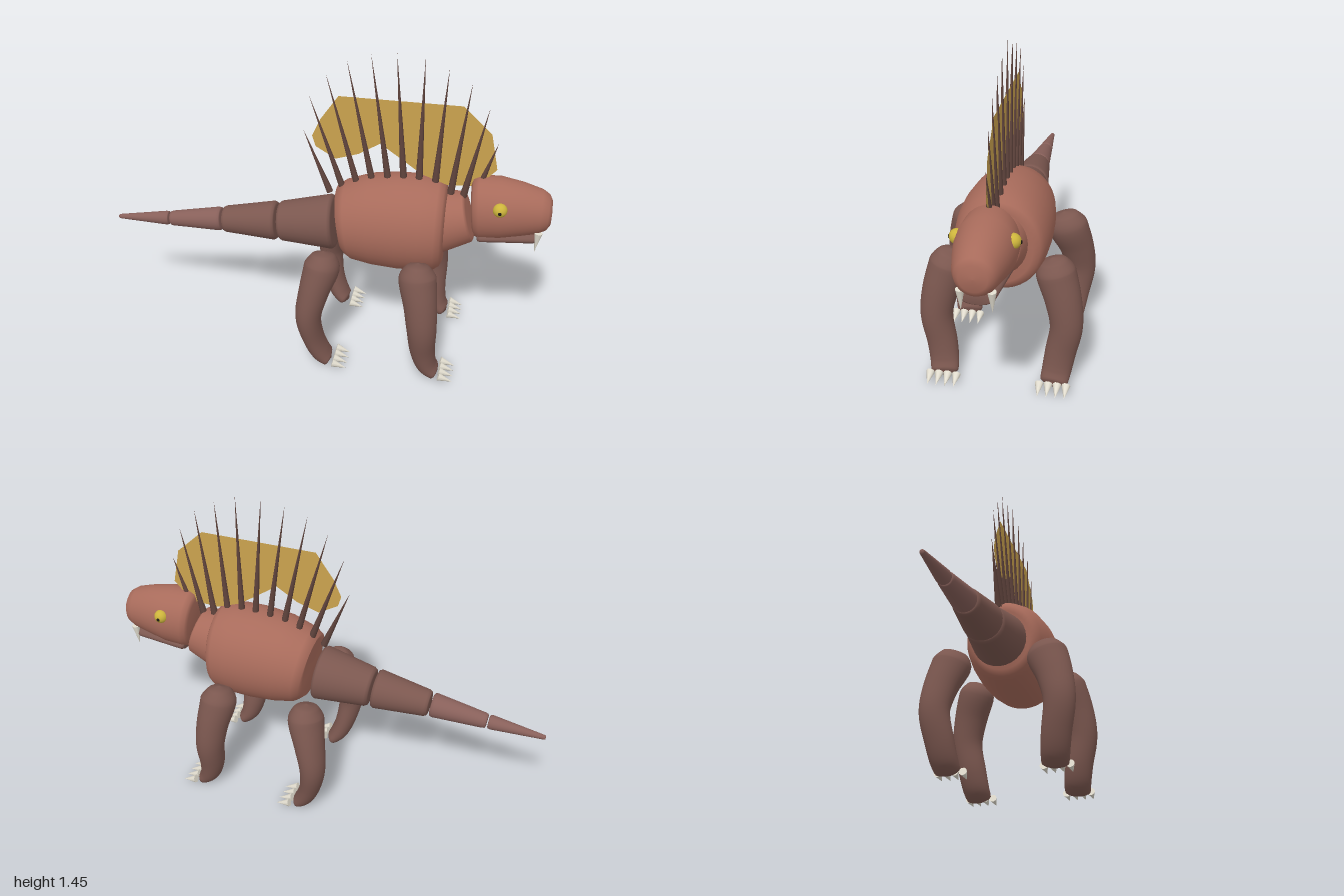
import * as THREE from 'three';

const paint = (name, color, side = THREE.FrontSide) => {
  const m = new THREE.MeshStandardMaterial({ color, side });
  m.name = name;
  return m;
};

// Closed skin through elliptical rings [x, y, z, radiusUp, radiusSide].
function loft(rings, sides = 28) {
  const centres = rings.map(r => new THREE.Vector3(r[0], r[1], r[2]));
  const pos = [], idx = [], n = rings.length;
  rings.forEach((r, i) => {
    const t = centres[Math.min(i + 1, n - 1)].clone().sub(centres[Math.max(i - 1, 0)]).normalize();
    const side = new THREE.Vector3(0, 0, 1).addScaledVector(t, -t.z).normalize();
    const up = side.clone().cross(t);
    for (let j = 0; j < sides; j++) {
      const a = j / sides * Math.PI * 2;
      const p = centres[i].clone().addScaledVector(up, Math.cos(a) * r[3]).addScaledVector(side, Math.sin(a) * r[4]);
      pos.push(p.x, p.y, p.z);
      if (i < n - 1) {
        const k = (j + 1) % sides, a0 = i * sides, b0 = a0 + sides;
        idx.push(a0 + j, a0 + k, b0 + j, a0 + k, b0 + k, b0 + j);
      }
    }
  });
  const g = new THREE.BufferGeometry();
  g.setAttribute('position', new THREE.Float32BufferAttribute(pos, 3));
  g.setIndex(idx);
  g.computeVertexNormals();
  return g;
}

// Tapered segment with softly rounded flat ends.
function segment(a, b) {
  const mix = (t, s) => a.map((v, k) => (v + (b[k] - v) * t) * (k > 2 ? s : 1));
  return loft([[0, 0], [0.002, 0.8], [0.015, 0.93], [0.06, 1], [0.5, 1], [0.94, 1], [0.985, 0.93], [0.998, 0.8], [1, 0]]
    .map(([t, s]) => mix(t, s)));
}

// Smoothly interpolates rings along a bent limb.
function smoothRings(rings, count) {
  const c = new THREE.CatmullRomCurve3(rings.map(r => new THREE.Vector3(r[0], r[1], r[2])));
  const w = new THREE.CatmullRomCurve3(rings.map(r => new THREE.Vector3(r[3], r[4], 0)));
  return Array.from({ length: count + 1 }, (_, i) => {
    const p = c.getPoint(i / count), q = w.getPoint(i / count);
    return [p.x, p.y, p.z, Math.max(q.x, 0), Math.max(q.y, 0)];
  });
}

// Cone reaching from its base centre to its tip.
function spike(base, tip, radius, sides = 8) {
  const a = new THREE.Vector3(...base), d = new THREE.Vector3(...tip).sub(a);
  const g = new THREE.ConeGeometry(radius, d.length(), sides);
  g.translate(0, d.length() / 2, 0);
  g.applyQuaternion(new THREE.Quaternion().setFromUnitVectors(new THREE.Vector3(0, 1, 0), d.normalize()));
  return g.translate(a.x, a.y, a.z);
}

export function createModel() {
  const model = new THREE.Group();
  const skin = paint('terracotta skin', 0xa86b5b);
  const limb = paint('brown limb', 0x7b574f);
  const tailTip = paint('reddish tail', 0x88605a);
  const spineMat = paint('dark spine', 0x60443d);
  const sailMat = paint('golden sail', 0xcaa24e, THREE.DoubleSide);
  const ivory = paint('ivory', 0xe2ddcf);
  const eyeMat = paint('yellow eye', 0xcdb53c);
  const black = paint('black pupil', 0x1c1814);
  const add = (name, geometry, material, parent = model) => {
    const m = new THREE.Mesh(geometry, material);
    m.name = name;
    parent.add(m);
    return m;
  };

  // Torso and neck
  add('torso', loft([
    [0.08, 0.63, 0, 0, 0], [0.082, 0.63, 0, 0.14, 0.13], [0.09, 0.631, 0, 0.165, 0.155],
    [0.12, 0.638, 0, 0.184, 0.175], [0.22, 0.65, 0, 0.212, 0.192], [0.34, 0.656, 0, 0.224, 0.2],
    [0.44, 0.658, 0, 0.222, 0.198], [0.51, 0.658, 0, 0.212, 0.188], [0.535, 0.658, 0, 0.195, 0.172],
    [0.548, 0.658, 0, 0.165, 0.145], [0.55, 0.658, 0, 0, 0]], 40), skin);
  add('neck', segment([0.5, 0.672, 0, 0.15, 0.13], [0.65, 0.715, 0, 0.112, 0.112]), skin);

  // Head and lower jaw
  add('head', loft([
    [0.658, 0.765, 0, 0, 0], [0.659, 0.765, 0, 0.11, 0.09], [0.668, 0.766, 0, 0.135, 0.11],
    [0.69, 0.768, 0, 0.146, 0.12], [0.78, 0.775, 0, 0.14, 0.125], [0.87, 0.776, 0, 0.122, 0.108],
    [0.95, 0.774, 0, 0.1, 0.09], [0.982, 0.773, 0, 0.08, 0.075], [0.996, 0.773, 0, 0.055, 0.055],
    [1, 0.773, 0, 0, 0]], 36), skin);
  add('lowerJaw', segment([0.69, 0.652, 0, 0.032, 0.095], [0.945, 0.66, 0, 0.03, 0.068]), limb);

  // Eyes and fangs
  for (const s of [1, -1]) {
    const side = s > 0 ? 'right' : 'left';
    add(side + 'Eye', new THREE.SphereGeometry(0.031, 20, 14), eyeMat).position.set(0.778, 0.822, s * 0.108);
    add(side + 'Pupil', new THREE.SphereGeometry(0.009, 12, 8), black).position.set(0.778, 0.82, s * 0.134);
    add(side + 'Fang', spike([0.95, 0.7, s * 0.06], [0.942, 0.605, s * 0.06], 0.018, 12), ivory);
  }

  // Tail, four overlapping tapers
  [[-0.21, 0.588, 0.09, 0.05, 0.615, 0.128], [-0.478, 0.566, 0.06, -0.22, 0.588, 0.092],
    [-0.74, 0.538, 0.034, -0.486, 0.565, 0.057], [-1, 0.517, 0.01, -0.746, 0.538, 0.034]]
    .forEach(([x0, y0, r0, x1, y1, r1], i) =>
      add('tailSegment' + (i + 1), segment([x0, y0, 0, r0, r0], [x1, y1, 0, r1, r1]), i < 2 ? limb : tailTip));

  // Legs with four claws on each foot
  const hind = [[0.035, 0.58, 0.2, 0, 0], [0.035, 0.565, 0.205, 0.052, 0.06], [0.032, 0.51, 0.22, 0.08, 0.092],
    [0.003, 0.4, 0.258, 0.068, 0.08], [-0.018, 0.28, 0.278, 0.058, 0.07], [0, 0.15, 0.258, 0.048, 0.066],
    [0.03, 0.07, 0.245, 0.043, 0.063], [0.062, 0.03, 0.237, 0.032, 0.058], [0.08, 0.018, 0.235, 0, 0]];
  const fore = [[0.455, 0.58, 0.21, 0, 0], [0.455, 0.565, 0.215, 0.05, 0.056], [0.457, 0.51, 0.228, 0.083, 0.085],
    [0.478, 0.4, 0.262, 0.074, 0.078], [0.492, 0.28, 0.28, 0.066, 0.07], [0.5, 0.15, 0.258, 0.056, 0.066],
    [0.52, 0.07, 0.245, 0.046, 0.063], [0.552, 0.03, 0.238, 0.032, 0.058], [0.57, 0.018, 0.236, 0, 0]];
  for (const [kind, rings, toe] of [['hind', hind, 0.095], ['front', fore, 0.58]]) {
    for (const s of [1, -1]) {
      const leg = new THREE.Group();
      leg.name = (s > 0 ? 'right' : 'left') + (kind === 'hind' ? 'HindLeg' : 'FrontLeg');
      add('limb', loft(smoothRings(rings.map(r => [r[0], r[1], r[2] * s, r[3], r[4]]), 40)), limb, leg);
      for (let i = 0; i < 4; i++) {
        const z = s * (0.18 + i * 0.038);
        add('claw', spike([toe, 0.036, z], [toe + 0.065, 0.016, z], 0.019, 10), ivory, leg);
      }
      model.add(leg);
    }
  }

  // Sail membrane
  const outline = [[-0.055, 1.04], [-0.02, 1.12], [0.06, 1.237], [0.59, 1.237], [0.715, 1.12], [0.75, 0.955],
    [0.715, 0.915], [0.65, 0.865], [0.54, 0.86], [0.43, 0.9], [0.33, 0.97], [0.245, 1.03], [0.15, 0.97],
    [0.05, 0.937], [-0.04, 0.99]].map(p => new THREE.Vector2(...p));
  add('sail', new THREE.ShapeGeometry(new THREE.Shape(outline)), sailMat);

  // Fan of spines along the back: base x, base y, tip x, tip y
  [[0.025, 0.77, -0.094, 1.065], [0.085, 0.79, -0.068, 1.23], [0.15, 0.81, 0.005, 1.335], [0.217, 0.83, 0.094, 1.405],
    [0.286, 0.845, 0.195, 1.438], [0.353, 0.86, 0.302, 1.453], [0.42, 0.86, 0.42, 1.443], [0.49, 0.85, 0.52, 1.4],
    [0.56, 0.82, 0.618, 1.345], [0.615, 0.81, 0.698, 1.24], [0.675, 0.85, 0.746, 1.08]]
    .forEach(([x0, y0, x1, y1], i) =>
      add('spine' + (i + 1), spike([x0, y0, 0], [x1, y1, 0], 0.016), spineMat));

  return model;
}
